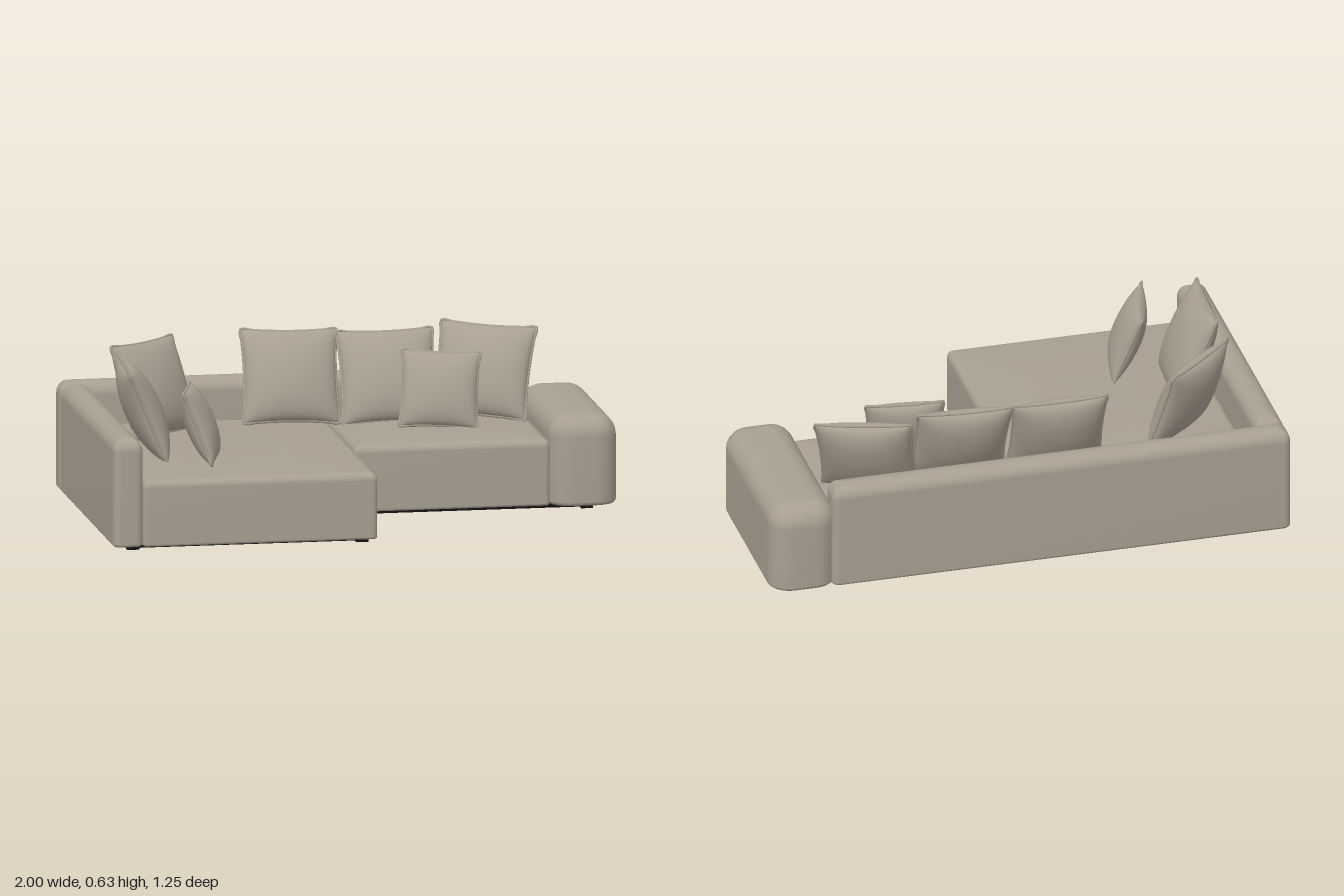
import * as THREE from 'three';
import { mergeGeometries } from 'three/addons/utils/BufferGeometryUtils.js';

const fabric = new THREE.MeshStandardMaterial({ color: 0xa89f91 });
fabric.name = 'taupe fabric';
const black = new THREE.MeshStandardMaterial({ color: 0x121212 });
black.name = 'black base';

// Upholstered block: stacked rounded-rectangle rings with a soft top edge and optional crown
function softBlock([x0, x1], [y0, y1], [z0, z1], cornerR, topR, bottomR, crown = 0) {
  const hw = (x1 - x0) / 2, hd = (z1 - z0) / 2, cx = (x0 + x1) / 2, cz = (z0 + z1) / 2;
  const rings = [], STEPS = 6, CORNER = 6;
  for (let i = 0; i <= 3; i++) {
    const a = (i / 3) * Math.PI / 2;
    rings.push([bottomR * (1 - Math.sin(a)), y0 + bottomR * (1 - Math.cos(a)), 1]);
  }
  for (let i = 0; i <= STEPS; i++) {
    const a = (i / STEPS) * Math.PI / 2;
    rings.push([topR * (1 - Math.cos(a)), y1 - topR * (1 - Math.sin(a)), 1]);
  }
  for (const s of [0.94, 0.8, 0.6, 0.4, 0.2]) rings.push([topR, y1 + crown * (1 - s * s), s]);

  const pos = [], index = [], n = 4 * (CORNER + 1);
  for (const [inset, y, s] of rings) {
    const r = Math.max(cornerR - inset, 0.003);
    for (let q = 0; q < 4; q++) {
      const sx = q === 0 || q === 3 ? 1 : -1, sz = q < 2 ? 1 : -1;
      for (let k = 0; k <= CORNER; k++) {
        const a = (q + k / CORNER) * Math.PI / 2;
        pos.push(cx + s * (sx * (hw - inset - r) + r * Math.cos(a)), y,
          cz + s * (sz * (hd - inset - r) + r * Math.sin(a)));
      }
    }
  }
  for (let i = 0; i < rings.length - 1; i++) {
    for (let j = 0; j < n; j++) {
      const a = i * n + j, b = i * n + (j + 1) % n;
      index.push(a, a + n, b, b, a + n, b + n);
    }
  }
  const bottom = pos.length / 3, top = bottom + 1, last = (rings.length - 1) * n;
  pos.push(cx, y0, cz, cx, y1 + crown, cz);
  for (let j = 0; j < n; j++) {
    const k = (j + 1) % n;
    index.push(bottom, j, k, top, last + k, last + j);
  }
  const g = new THREE.BufferGeometry();
  g.setAttribute('position', new THREE.Float32BufferAttribute(pos, 3));
  g.setIndex(index);
  g.computeVertexNormals();
  return g;
}

// Sides curve in slightly between the pointed corners
const outline = (u, v, size) => [
  size / 2 * u * (1 - 0.05 * (1 - v * v)),
  size / 2 * v * (1 - 0.05 * (1 - u * u)),
];

function pillowGeometry(size, thick) {
  const face = new THREE.PlaneGeometry(2, 2, 22, 22);
  const p = face.attributes.position;
  for (let i = 0; i < p.count; i++) {
    const u = Math.sin(p.getX(i) * Math.PI / 2), v = Math.sin(p.getY(i) * Math.PI / 2);
    const puff = Math.pow(Math.max(0, (1 - u * u) * (1 - v * v)), 0.45);
    const [x, y] = outline(u, v, size);
    p.setXYZ(i, x, y, thick / 2 * puff);
  }
  face.computeVertexNormals();
  return mergeGeometries([face, face.clone().rotateY(Math.PI)]);
}

// Piped seam following the pillow outline
function pipingGeometry(size) {
  const pts = [];
  const corners = [[-1, -1], [1, -1], [1, 1], [-1, 1]];
  corners.forEach(([u, v], i) => {
    const [u2, v2] = corners[(i + 1) % 4];
    for (let k = 0; k < 8; k++) {
      const t = k / 8;
      const [x, y] = outline(u + (u2 - u) * t, v + (v2 - v) * t, size);
      pts.push(new THREE.Vector3(x, y, 0));
    }
  });
  return new THREE.TubeGeometry(new THREE.CatmullRomCurve3(pts, true), 96, 0.006, 6, true);
}

export function createModel() {
  const model = new THREE.Group();
  model.name = 'sectionalSofa';
  const add = (name, geometry, material, parent = model) => {
    const mesh = new THREE.Mesh(geometry, material);
    mesh.name = name;
    parent.add(mesh);
    return mesh;
  };

  // Upholstered body
  add('backrest', softBlock([-1, 0.768], [0.02, 0.43], [-0.625, -0.515], 0.03, 0.05, 0.012), fabric);
  add('rightSideRest', softBlock([-1, -0.886], [0.02, 0.43], [-0.525, 0.622], 0.03, 0.05, 0.012), fabric);
  add('chaiseSeat', softBlock([-0.888, -0.002], [0.02, 0.272], [-0.52, 0.622], 0.02, 0.03, 0.01, 0.014), fabric);
  add('shortSeat', softBlock([0.002, 0.745], [0.02, 0.272], [-0.52, 0.09], 0.02, 0.03, 0.01, 0.014), fabric);
  add('leftArmrest', softBlock([0.742, 1], [0.02, 0.36], [-0.625, 0.122], 0.085, 0.08, 0.015), fabric);

  // L-shaped underside panel
  const panel = new THREE.Shape([
    [-0.94, 0.555], [-0.94, -0.565], [-0.03, -0.565], [-0.03, -0.06], [0.91, -0.06], [0.91, 0.555],
  ].map(([x, y]) => new THREE.Vector2(x, y)));
  const panelGeometry = new THREE.ExtrudeGeometry(panel, { depth: 0.016, bevelEnabled: false });
  add('basePanel', panelGeometry.rotateX(-Math.PI / 2).translate(0, 0.008, 0), black);

  // Low feet
  for (const [x, z] of [[-0.915, 0.54], [-0.05, 0.54], [-0.915, -0.535], [-0.02, -0.535],
    [0.89, -0.535], [0.89, 0.035], [-0.05, 0.035], [-0.915, 0.02]]) {
    add('foot', new THREE.BoxGeometry(0.045, 0.01, 0.04).translate(x, 0.005, z), black);
  }

  // Loose pillows: name, size, thickness, centre, yaw, backward lean, roll
  const pillows = [
    ['backPillow', 0.36, 0.14, [-0.148, 0.445, -0.42], -0.03, 0.42, -0.02],
    ['backPillow', 0.36, 0.14, [0.215, 0.438, -0.39], -0.05, 0.44, 0.02],
    ['backPillow', 0.36, 0.14, [0.58, 0.445, -0.41], -0.34, 0.45, -0.05],
    ['cornerPillow', 0.36, 0.14, [-0.69, 0.447, -0.275], 0.72, 0.35, -0.02],
    ['sidePillow', 0.37, 0.14, [-0.8, 0.447, 0.115], 1.5, 0.4, 0.04],
    ['smallPillow', 0.29, 0.11, [0.38, 0.418, -0.21], -0.17, 0.38, -0.04],
    ['smallPillow', 0.29, 0.11, [-0.615, 0.418, 0.3], 1.33, 0.38, -0.04],
  ];
  for (const [name, size, thick, centre, yaw, lean, roll] of pillows) {
    const group = new THREE.Group();
    group.name = name;
    add('pillowCover', pillowGeometry(size, thick), fabric, group);
    add('pillowPiping', pipingGeometry(size), fabric, group);
    group.position.set(...centre);
    group.rotation.set(-lean, yaw, roll, 'YXZ');
    model.add(group);
  }
  return model;
}
